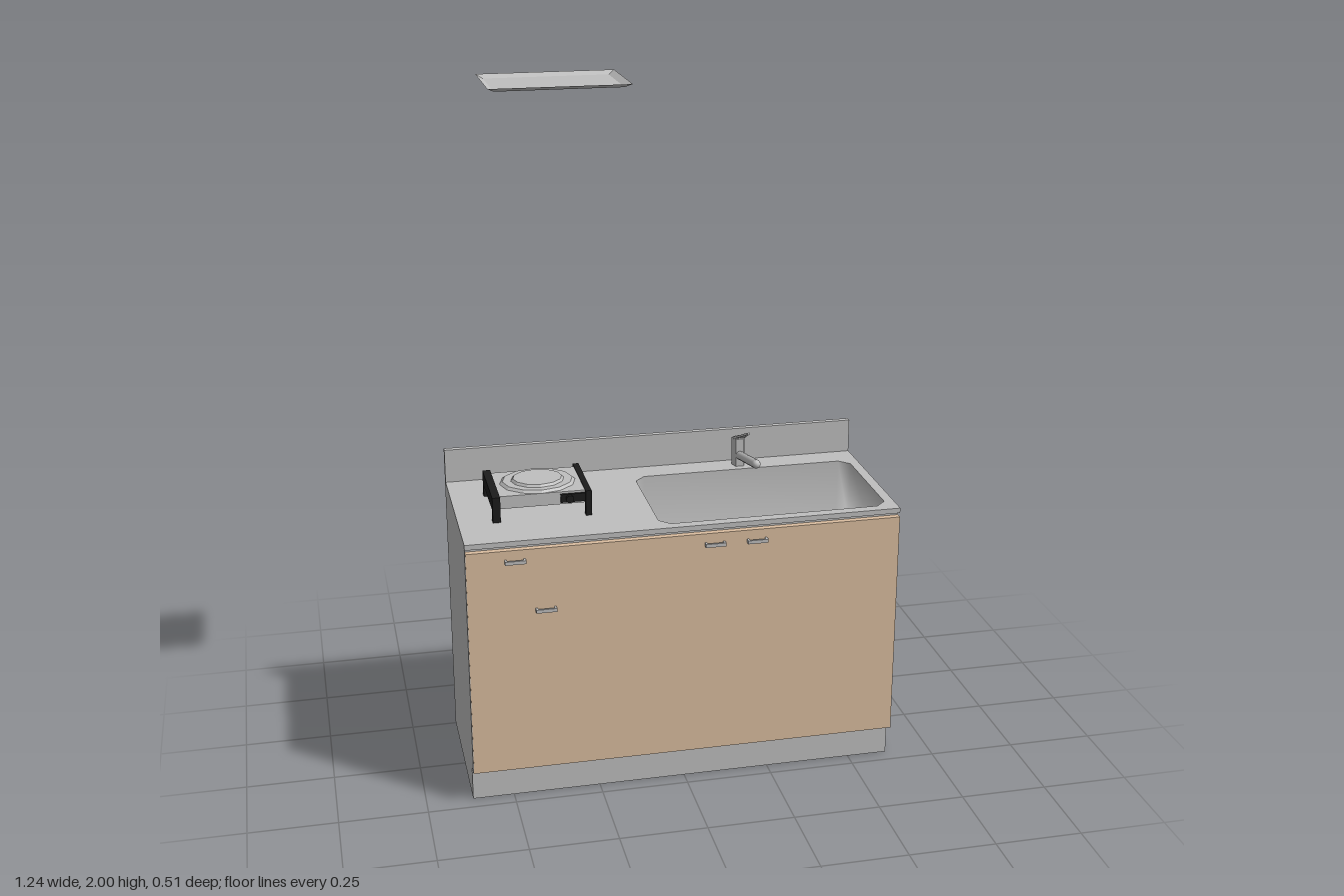
import * as THREE from 'three';

const steel = new THREE.MeshStandardMaterial({ color: 0xbfbfbf, side: THREE.DoubleSide });
steel.name = 'steel grey';
const wood = new THREE.MeshStandardMaterial({ color: 0xdabd9f });
wood.name = 'light wood';
const black = new THREE.MeshStandardMaterial({ color: 0x1c1c1c });
black.name = 'black';

export function createModel() {
  const root = new THREE.Group();
  root.name = 'kitchenUnit';

  const add = (name, geo, mat, parent = root) => {
    const m = new THREE.Mesh(geo, mat);
    m.name = name;
    parent.add(m);
    return m;
  };
  const group = (name) => {
    const g = new THREE.Group();
    g.name = name;
    root.add(g);
    return g;
  };
  // box given by its limits on each axis
  const box = (name, [x0, x1], [y0, y1], [z0, z1], mat, parent) => {
    const m = add(name, new THREE.BoxGeometry(x1 - x0, y1 - y0, z1 - z0), mat, parent);
    m.position.set((x0 + x1) / 2, (y0 + y1) / 2, (z0 + z1) / 2);
    return m;
  };
  const faceted = (geo) => {
    const g = geo.toNonIndexed();
    g.computeVertexNormals();
    return g;
  };
  // rectangle with cut corners, as [x, -z] points
  const outline = (x0, x1, z0, z1, c) => {
    const a = -z1, b = -z0;
    if (!c) return [[x0, a], [x1, a], [x1, b], [x0, b]];
    return [[x0 + c, a], [x1 - c, a], [x1, a + c], [x1, b - c],
      [x1 - c, b], [x0 + c, b], [x0, b - c], [x0, a + c]];
  };
  // open pan lofted from an upper ring to a lower ring, floor closed in strips
  const pan = (top, topY, low, lowY) => {
    const n = top.length, pos = [], idx = [];
    top.forEach(([x, s]) => pos.push(x, topY, -s));
    low.forEach(([x, s]) => pos.push(x, lowY, -s));
    for (let i = 0; i < n; i++) {
      const j = (i + 1) % n;
      idx.push(i, j, n + i, j, n + j, n + i);
    }
    for (let k = 0; k < n / 2 - 1; k++) {
      const a = n + (n - k) % n, b = n + k + 1, c = n + k + 2, d = 2 * n - k - 1;
      idx.push(a, b, c, a, c, d);
    }
    const g = new THREE.BufferGeometry();
    g.setAttribute('position', new THREE.Float32BufferAttribute(pos, 3));
    g.setIndex(idx);
    g.computeVertexNormals();
    return g;
  };

  const W = 0.618, BACK = -0.257, FRONT = 0.24, KICK = 0.205, DOOR = 0.212, T = 0.002;

  // hollow cabinet of thin panels
  const cabinet = group('cabinet');
  for (const [xs, front] of [[[-W, -W + T], FRONT - T], [[W - T, W], DOOR]]) {
    box('sidePanelLower', xs, [0, 0.1], [BACK, KICK], steel, cabinet);
    box('sidePanel', xs, [0.1, 0.785], [BACK, front], steel, cabinet);
  }
  box('backPanel', [-W + T, W - T], [0, 0.785], [BACK, BACK + T], steel, cabinet);
  box('kickBoard', [-W + T, W - T], [0, 0.1], [KICK - T, KICK], steel, cabinet);
  box('floorLeft', [-0.30, W - T], [0.094, 0.1], [BACK + T, KICK - T], steel, cabinet);
  box('floorRight', [-W + T, -0.335], [0.094, 0.1], [BACK + T, KICK - T], steel, cabinet);
  box('partition', [-0.35, -0.335], [0.1, 0.785], [BACK + T, KICK], steel, cabinet);
  box('topRail', [-W + T, W - T], [0.773, 0.785], [DOOR, 0.222], steel, cabinet);
  box('doorFront', [-W + T, W], [0.1, 0.773], [DOOR, FRONT], wood, cabinet);

  // worktop with a cut-out for the sink
  const rim = outline(-0.07, 0.59, -0.16, 0.21, 0.03);
  const toVec = (p) => new THREE.Vector2(p[0], p[1]);
  const topShape = new THREE.Shape(outline(-W, W, BACK, FRONT, 0).map(toVec));
  topShape.holes.push(new THREE.Path(rim.map(toVec)));
  const topGeo = new THREE.ExtrudeGeometry(topShape, { depth: 0.015, bevelEnabled: false });
  topGeo.rotateX(-Math.PI / 2);
  add('worktop', topGeo, steel).position.y = 0.785;
  box('backsplash', [-W, W], [0.8, 0.9], [BACK, -0.24], steel);

  // sink basin and drain pipe
  add('sinkBasin', pan(rim, 0.8, outline(-0.066, 0.586, -0.156, 0.206, 0.03), 0.62), steel);
  add('drainPipe', new THREE.CylinderGeometry(0.025, 0.025, 0.527, 16), black).position.set(0.277, 0.3555, 0.005);

  // U-shaped handles
  for (const [x, y] of [[-0.482, 0.742], [-0.4, 0.591], [0.078, 0.742], [0.199, 0.742]]) {
    const h = group('handle');
    box('handleBar', [x - 0.029, x + 0.029], [y - 0.005, y + 0.005], [0.25, 0.256], steel, h);
    for (const s of [-1, 1]) {
      const c = x + s * 0.026;
      box('handleFoot', [c - 0.003, c + 0.003], [y - 0.005, y + 0.005], [FRONT, 0.25], steel, h);
    }
  }

  // tap: five-sided column, rising spout, lever
  const tap = group('tap');
  const column = add('tapColumn', faceted(new THREE.CylinderGeometry(0.021, 0.021, 0.086, 5)), steel, tap);
  column.position.set(0.259, 0.843, -0.2);
  column.rotation.y = Math.PI;
  const a = new THREE.Vector3(0.259, 0.832, -0.195), b = new THREE.Vector3(0.259, 0.874, 0);
  const dir = b.clone().sub(a);
  const spout = add('tapSpout', new THREE.CylinderGeometry(0.013, 0.013, dir.length(), 12), steel, tap);
  spout.position.copy(a).add(b).multiplyScalar(0.5);
  spout.quaternion.setFromUnitVectors(new THREE.Vector3(0, 1, 0), dir.normalize());
  add('spoutTip', new THREE.SphereGeometry(0.013, 12, 8), steel, tap).position.copy(b);
  const lever = new THREE.Shape([[0, 0], [0.021, 0.018], [0.013, 0.042], [0.003, 0.142],
    [-0.003, 0.142], [-0.013, 0.042], [-0.021, 0.018]].map(toVec));
  const leverGeo = new THREE.ExtrudeGeometry(lever, { depth: 0.006, bevelEnabled: false });
  leverGeo.rotateX(Math.PI / 2 - 0.43);
  add('tapLever', leverGeo, steel, tap).position.set(0.259, 0.879, -0.221);

  // portable hob between two black rails with feet
  const hob = group('hob');
  box('hobBody', [-0.5, -0.26], [0.835, 0.872], [-0.1, 0.088], steel, hob);
  for (const [name, r0, r1, y0, y1] of [['hobRing', 0.1, 0.108, 0.872, 0.879], ['hotplate', 0.07, 0.076, 0.879, 0.886]]) {
    const plate = add(name, faceted(new THREE.CylinderGeometry(r0, r1, y1 - y0, 12)), steel, hob);
    plate.position.set(-0.38, (y0 + y1) / 2, -0.006);
    plate.scale.z = 0.87;
  }
  for (const xs of [[-0.522, -0.5], [-0.26, -0.243]]) {
    box('hobRail', xs, [0.835, 0.874], [-0.12, 0.101], black, hob);
    for (const z of [-0.12, 0.084]) box('hobFoot', xs, [0.8, 0.835], [z, z + 0.017], black, hob);
  }
  box('hobControl', [-0.33, -0.26], [0.842, 0.866], [0.088, 0.096], black, hob);
  const knob = add('hobKnob', new THREE.CylinderGeometry(0.011, 0.011, 0.012, 12), black, hob);
  knob.rotation.x = Math.PI / 2;
  knob.position.set(-0.305, 0.854, 0.1);

  // shallow tray high above the hob
  add('overheadTray', faceted(pan(outline(-0.5, -0.122, -0.14, 0.12, 0), 2,
    outline(-0.482, -0.14, -0.122, 0.102, 0), 1.99)), steel);

  return root;
}
